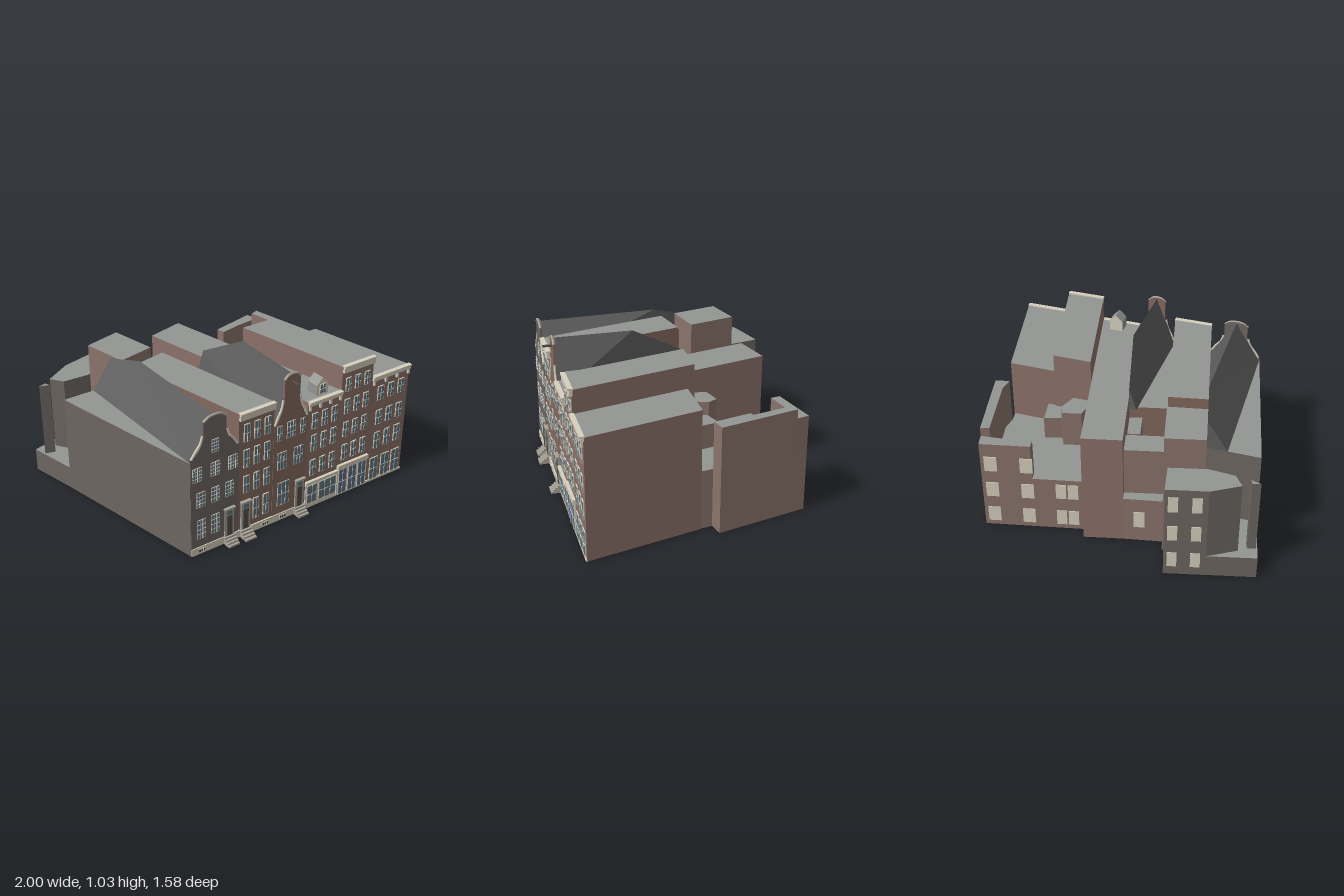
import * as THREE from 'three';

const mat = (color, side = THREE.FrontSide) => new THREE.MeshStandardMaterial({ color, side });
const M = {
  grey: mat(0x6c6661), brown: mat(0x84695e), rose: mat(0x8c7169), side: mat(0x8a746b),
  roof: mat(0x939593), slate: mat(0x5c5c5c, THREE.DoubleSide), cream: mat(0xd6cfbd),
  glass: mat(0x62767e), shop: mat(0x5d6f86), door: mat(0x55504a), white: mat(0xe8e6df), stone: mat(0xa8a297),
};
const FRONT = 0.718, SKEW = 0.236;
// plan x of a party wall that starts at u on the street and runs back to z
const X = (u, z) => u - SKEW * (0.72 - z);

export function createModel() {
  const root = new THREE.Group();
  root.name = 'canalHouseRow';
  const add = (name, geo, m, parent = root) => {
    const mesh = new THREE.Mesh(geo, m);
    mesh.name = name;
    parent.add(mesh);
    return mesh;
  };
  const box = (name, w, h, d, x, y, z, m, parent) => {
    const b = add(name, new THREE.BoxGeometry(w, h, d), m, parent);
    b.position.set(x, y, z);
    return b;
  };
  // vertical prism over a plan polygon of [x, z]
  const prism = (name, pts, y0, y1, wall, top = M.roof) => {
    const s = new THREE.Shape(pts.map(([x, z]) => new THREE.Vector2(x, -z)));
    const g = new THREE.ExtrudeGeometry(s, { depth: y1 - y0, bevelEnabled: false });
    g.rotateX(-Math.PI / 2);
    g.translate(0, y0, 0);
    return add(name, g, [top, wall]);
  };
  // skewed block between two party walls
  const strip = (name, u0, u1, zf0, zf1, zb0, zb1, h, wall) =>
    prism(name, [[X(u0, zf0), zf0], [X(u1, zf1), zf1], [X(u1, zb1), zb1], [X(u0, zb0), zb0]], 0, h, wall);
  // flat polygons in space, fanned into triangles
  const faces = (name, polys, m) => {
    const p = [];
    polys.forEach(f => { for (let i = 1; i < f.length - 1; i++) p.push(...f[0], ...f[i], ...f[i + 1]); });
    const g = new THREE.BufferGeometry();
    g.setAttribute('position', new THREE.Float32BufferAttribute(p, 3));
    g.computeVertexNormals();
    return add(name, g, m);
  };
  // framed window facing +z, with bars
  const win = (x, y0, y1, w, cols = 2, rows = 2, pane = M.glass, parent = root, z = FRONT) => {
    const g = new THREE.Group(), h = y1 - y0;
    g.name = 'window';
    g.position.set(x, (y0 + y1) / 2, z);
    box('frame', w, h, 0.006, 0, 0, 0, M.cream, g);
    box('pane', w - 0.008, h - 0.008, 0.004, 0, 0, 0.0025, pane, g);
    for (let i = 1; i < cols; i++) box('bar', 0.0035, h, 0.004, -w / 2 + w * i / cols, 0, 0.004, M.white, g);
    for (let j = 1; j < rows; j++) box('bar', w, 0.0035, 0.004, 0, -h / 2 + h * j / rows, 0.004, M.white, g);
    parent.add(g);
    return g;
  };
  const rowOf = (xs, ys, w, c, r) => ys.forEach(([a, b]) => xs.forEach(x => win(x, a, b, w, c, r)));
  // window on a wall running from a to b in plan, outside to the left of a->b
  const wallWin = (a, b, t, y, w, h) => {
    const dx = b[0] - a[0], dz = b[1] - a[1];
    const g = win(0, y - h / 2, y + h / 2, w, 1, 2);
    g.position.x = a[0] + dx * t;
    g.position.z = a[1] + dz * t;
    g.rotation.y = Math.atan2(dz, -dx);
  };

  // main bodies
  const EAVE = 0.66;
  strip('houseOneBody', -0.67, -0.33, 0.715, 0.715, -0.33, -0.33, EAVE, M.grey);
  strip('houseTwoBody', -0.33, -0.075, 0.715, 0.715, -0.13, -0.18, 0.87, M.brown);
  strip('houseTwoLink', -0.33, -0.255, -0.13, -0.14, -0.24, -0.25, 0.78, M.side);
  strip('houseTwoRear', -0.33, -0.075, -0.23, -0.28, -0.53, -0.59, 0.87, M.side);
  strip('houseThreeBody', -0.075, 0.18, 0.715, 0.715, -0.04, -0.1, 0.68, M.brown);
  strip('houseThreeLink', 0.095, 0.18, -0.07, -0.1, -0.25, -0.27, 0.6, M.side);
  strip('houseThreeRearLow', -0.075, 0.18, -0.22, -0.26, -0.31, -0.36, 0.5, M.side);
  strip('houseThreeRearHigh', -0.075, 0.18, -0.3, -0.36, -0.45, -0.51, 0.66, M.side);
  strip('houseThreeRearAnnex', -0.075, 0.18, -0.44, -0.5, -0.52, -0.57, 0.33, M.side);
  strip('houseFourBody', 0.18, 0.44, 0.715, 0.715, -0.57, -0.63, 0.78, M.rose);
  strip('houseFiveBody', 0.44, 0.69, 0.715, 0.715, -0.06, -0.06, 0.94, M.rose);
  strip('houseSixBody', 0.69, 1, 0.715, 0.715, -0.015, -0.015, 0.79, M.rose);

  // rear yard of house one: low base, angled wing, posts
  prism('rearBase', [[-1, -0.65], [-0.45, -0.79], [-0.41, -0.59], [-0.64, -0.53], [-0.58, -0.32], [-0.915, -0.32]], 0, 0.155, M.grey);
  prism('rearWing', [[-0.45, -0.79], [-0.7, -0.727], [-0.87, -0.62], [-0.81, -0.54], [-0.64, -0.53], [-0.41, -0.59]], 0, EAVE, M.grey);
  prism('rearPost', [[-0.97, -0.57], [-0.92, -0.585], [-0.905, -0.55]], 0.155, EAVE, M.grey);

  // rear wing behind houses five and six
  prism('backWing', [[0.14, -0.56], [0.76, -0.7], [0.9, -0.11], [0.81, -0.09], [0.825, 0], [0.25, 0]], 0, 0.39, M.side);
  prism('backWingUpper', [[0.45, -0.63], [0.76, -0.7], [0.78, -0.62], [0.6, -0.6], [0.46, -0.57]], 0.39, 0.64, M.side);
  prism('backWingSideWall', [[0.78, -0.62], [0.9, -0.11], [0.81, -0.09], [0.82, -0.18], [0.725, -0.6]], 0.39, 0.7, M.side);
  prism('backStairTower', [[0.25, -0.06], [0.27, -0.21], [0.39, -0.24], [0.42, -0.18], [0.38, -0.06]], 0.39, 0.64, M.side);
  prism('backBay', [[0.38, -0.06], [0.37, -0.16], [0.53, -0.21], [0.56, -0.05]], 0.39, 0.55, M.side);

  // steep roofs, cut off where they meet the next house
  const cutRoof = (name, l, r, mid, e, top, zr, zb, shift, D) => {
    const a = [l, e, 0.71], b = [mid, top, 0.71], f = [r, e, 0.71];
    const c = [X(r, zr), top, zr], dx = X(r, zb), d = [dx, D, zb], k = [l - shift, e, zb], g = [dx, e, zb];
    faces(name, [[a, b, c, d, k], [b, f, c], [k, d, g], [f, g, d, c], [a, f, b]], M.slate);
  };
  cutRoof('houseOneRoof', -0.67, -0.33, -0.5, EAVE, 0.925, -0.07, -0.33, 0.04, 0.85);
  cutRoof('houseThreeRoof', -0.075, 0.18, 0.053, 0.68, 1.015, 0.21, -0.117, -0.01, 0.83);

  // neck gables: scrolled shoulders, straight neck, arched head
  const neckGable = (name, l, r, nw, sh, ny, ty, top, wall) => {
    const c = (l + r) / 2, s = new THREE.Shape();
    s.moveTo(l, 0); s.lineTo(r, 0); s.lineTo(r, sh);
    s.quadraticCurveTo(c + nw + 0.015, sh + 0.03, c + nw, ny);
    s.lineTo(c + nw, ty);
    s.bezierCurveTo(c + nw * 0.8, top + 0.006, c - nw * 0.8, top + 0.006, c - nw, ty);
    s.lineTo(c - nw, ny);
    s.quadraticCurveTo(c - nw - 0.015, sh + 0.03, l, sh);
    const g = new THREE.ExtrudeGeometry(s, { depth: 0.016, bevelEnabled: false });
    g.translate(0, 0, 0.702);
    add(name, g, wall);
    const rim = (pts, m, n) => add(n, new THREE.TubeGeometry(new THREE.CatmullRomCurve3(
      pts.map(([x, y]) => new THREE.Vector3(x, y, 0.715))), 16, 0.008, 6), m);
    [-1, 1].forEach(k => {
      const w = (r - l) / 2;
      rim([[c + k * (w - 0.008), sh], [c + k * (nw + (w - nw) * 0.62), sh + (ny - sh) * 0.3],
        [c + k * (nw + (w - nw) * 0.25), sh + (ny - sh) * 0.62], [c + k * (nw + 0.005), ny]], M.cream, 'gableScroll');
    });
    rim([[c - nw, ty], [c - nw * 0.55, top - 0.012], [c, top - 0.006], [c + nw * 0.55, top - 0.012], [c + nw, ty]], M.stone, 'gableCap');
  };
  neckGable('houseOneGable', -0.67, -0.33, 0.078, 0.68, 0.815, 0.9, 0.935, M.grey);
  neckGable('houseThreeGable', -0.075, 0.18, 0.058, 0.7, 0.86, 0.99, 1.025, M.brown);
  box('hoistBeam', 0.012, 0.012, 0.07, 0.053, 0.965, 0.74, M.door);

  // cornices with brackets
  const cornice = (l, r, y0, y1, brackets) => {
    box('cornice', r - l, y1 - y0, 0.02, (l + r) / 2, (y0 + y1) / 2, 0.72, M.cream);
    box('corniceLip', r - l, 0.012, 0.03, (l + r) / 2, y1, 0.722, M.cream);
    for (let i = 0; i < brackets; i++)
      box('bracket', 0.014, 0.035, 0.016, l + 0.012 + (r - l - 0.024) * i / (brackets - 1), y0 - 0.015, 0.721, M.cream);
  };
  cornice(-0.33, -0.075, 0.825, 0.868, 0);
  cornice(0.18, 0.44, 0.752, 0.776, 4);
  cornice(0.44, 0.69, 0.9, 0.942, 0);
  cornice(0.69, 1, 0.765, 0.792, 4);

  // street windows
  rowOf([-0.6, -0.5], [[0.11, 0.245]], 0.06, 3, 4);
  rowOf([-0.6, -0.5, -0.4], [[0.335, 0.44]], 0.06, 3, 4);
  rowOf([-0.625, -0.5, -0.375], [[0.52, 0.615]], 0.065, 4, 4);
  rowOf([-0.5], [[0.68, 0.77]], 0.05, 3, 4);
  rowOf([-0.275, -0.2, -0.125], [[0.67, 0.79], [0.49, 0.615], [0.31, 0.43]], 0.043);
  rowOf([-0.2, -0.125], [[0.095, 0.245]], 0.043);
  rowOf([-0.035, 0.14], [[0.585, 0.69]], 0.038);
  rowOf([0.053], [[0.585, 0.7]], 0.065, 3, 3);
  rowOf([-0.01, 0.115], [[0.375, 0.5]], 0.07, 3, 2);
  rowOf([0.007], [[0.11, 0.28]], 0.09, 3, 2);
  rowOf([0.235, 0.312, 0.388], [[0.58, 0.69], [0.42, 0.535], [0.24, 0.355]], 0.043);
  rowOf([0.49, 0.565, 0.64], [[0.76, 0.855], [0.6, 0.705], [0.435, 0.54], [0.26, 0.375]], 0.043);
  rowOf([0.765, 0.85, 0.935], [[0.61, 0.71], [0.43, 0.535], [0.25, 0.37]], 0.05);
  rowOf([0.755, 0.85, 0.94], [[0.015, 0.18]], 0.068);

  // shop fronts
  box('shopFront', 0.25, 0.2, 0.012, 0.31, 0.1, 0.716, M.cream);
  box('shopLintel', 0.26, 0.02, 0.03, 0.31, 0.192, 0.72, M.cream);
  win(0.235, 0.035, 0.17, 0.08, 2, 2, M.glass, root, 0.723);
  win(0.36, 0.035, 0.17, 0.14, 3, 2, M.glass, root, 0.723);
  box('shopFront', 0.25, 0.22, 0.012, 0.565, 0.11, 0.716, M.cream);
  box('shopLintel', 0.25, 0.03, 0.03, 0.565, 0.217, 0.72, M.cream);
  for (let i = 0; i < 3; i++) win(0.485 + i * 0.08, 0.01, 0.195, 0.066, 2, 2, M.shop, root, 0.723);

  // plinths and basement windows
  [[-0.67, -0.33], [-0.33, -0.075], [-0.075, 0.18]].forEach(([l, r], i) => {
    box('plinth', r - l, 0.05, 0.012, (l + r) / 2, 0.025, 0.718, M.cream);
    win([-0.6, -0.13, 0.005][i], 0.014, 0.038, 0.05, 3, 1, M.door, root, 0.724);
  });
  box('plinth', 0.31, 0.015, 0.01, 0.845, 0.0075, 0.717, M.cream);

  // doors and stoops
  [-0.4, -0.28, 0.133].forEach((x, i) => {
    box('doorFrame', 0.066, 0.2, 0.014, x, 0.15, 0.72, M.stone);
    box('door', 0.038, 0.145, 0.006, x, 0.125, 0.727, M.door);
    box('transom', 0.038, 0.03, 0.006, x, 0.22, 0.727, M.glass);
    box('doorHood', 0.076, 0.01, 0.026, x, 0.25, 0.726, M.stone);
    const run = i === 1 ? 0.0165 : 0.0145;
    for (let s = 0; s < 4; s++) {
      const d = run * (4 - s) + 0.006;
      box('step', 0.08, 0.0125, d, x, 0.0063 + s * 0.0125, 0.718 + d / 2, M.stone);
    }
  });

  // attic dormer
  const ds = new THREE.Shape([[-0.045, 0], [0.045, 0], [0.045, 0.07], [0, 0.115], [-0.045, 0.07]].map(p => new THREE.Vector2(...p)));
  const dorm = new THREE.ExtrudeGeometry(ds, { depth: 0.085, bevelEnabled: false });
  dorm.translate(0.31, 0.78, 0.6);
  add('dormer', dorm, [M.cream, M.roof]);
  win(0.31, 0.79, 0.855, 0.045, 2, 2, M.glass, root, 0.687);

  // rear windows
  const rearA = [-0.45, -0.792], rearB = [-0.7, -0.729];
  [0.55, 0.33, 0.12].forEach(y => [0.2, 0.75].forEach(t => wallWin(rearA, rearB, t, y, 0.06, 0.11)));
  const wingA = [0.76, -0.702], wingB = [0.14, -0.562];
  [0.49, 0.29, 0.09].forEach(y => [0.1, 0.45].forEach(t => wallWin(wingA, wingB, t, y, 0.08, 0.11)));
  [0.3, 0.09].forEach(y => [0.78, 0.9].forEach(t => wallWin(wingA, wingB, t, y, 0.065, 0.11)));
  wallWin([X(0.18, -0.572), -0.572], [X(-0.075, -0.522), -0.522], 0.4, 0.17, 0.07, 0.12);

  return root;
}
